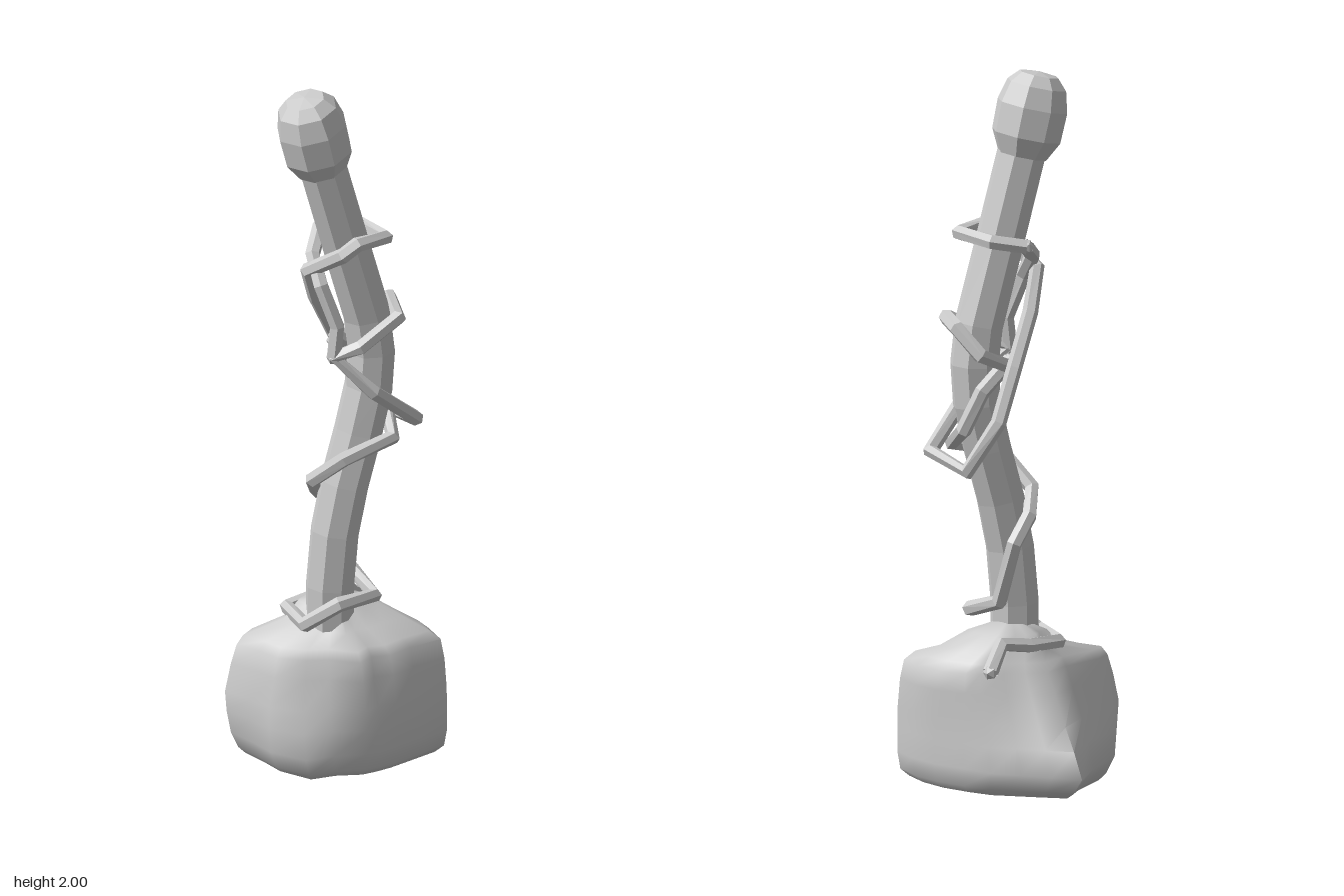
import * as THREE from 'three';
import { toCreasedNormals } from 'three/addons/utils/BufferGeometryUtils.js';

const flat = new THREE.MeshStandardMaterial({ color: 0xcccccc, flatShading: true, side: THREE.DoubleSide });
const smooth = new THREE.MeshStandardMaterial({ color: 0xcccccc });

function addMesh(parent, name, geometry, material = flat) {
  const mesh = new THREE.Mesh(geometry, material);
  mesh.name = name;
  parent.add(mesh);
  return mesh;
}

// Faceted tube with one ring per path point, so the bends stay angular
function facetedTube(points, radius, sides) {
  const curve = new THREE.CatmullRomCurve3(points.map(p => new THREE.Vector3(...p)));
  curve.getPointAt = (u, target) => curve.getPoint(u, target);
  curve.getTangentAt = (u, target) => curve.getTangent(u, target);
  return new THREE.TubeGeometry(curve, points.length - 1, radius, sides);
}

// Rock: one irregular outline, scaled differently on each side per level
function rockGeometry() {
  // x, z, how far this point draws inwards towards the top
  const outline = [
    [0, -0.297, 0], [0.06, -0.235, 0], [0.12, -0.17, 0.04], [0.18, -0.105, 0], [0.22, -0.02, 0.05],
    [0.26, 0.07, 0.02], [0.278, 0.16, 0], [0.274, 0.25, 0], [0.18, 0.272, 0.04], [0.1, 0.29, 0.02],
    [0.05, 0.295, 0.09], [0, 0.295, 0], [-0.09, 0.265, 0.14], [-0.18, 0.255, 0.21], [-0.245, 0.16, 0.12],
    [-0.26, 0.08, 0.08], [-0.283, -0.01, 0], [-0.23, -0.105, 0], [-0.1, -0.2, 0.07],
  ];
  // y, scale towards left (+x), right (-x), front, back
  const levels = [
    [0, 0.9, 0.78, 0.92, 0.72], [0.02, 0.98, 0.85, 0.97, 0.84], [0.07, 1, 0.93, 1, 1],
    [0.14, 1, 0.98, 1, 0.85], [0.2, 1, 1, 0.99, 0.69], [0.28, 1, 0.94, 0.94, 0.5],
    [0.335, 0.98, 0.88, 0.89, 0.36], [0.36, 0.88, 0.81, 0.83, 0.3],
    [0.385, 0.72, 0.36, 0.58, 0.23], [0.43, 0.48, 0.2, 0.42, 0.14],
  ];
  const n = outline.length, pos = [], idx = [];
  levels.forEach(([y, left, right, front, back], j) => {
    outline.forEach(([x, z, depth], i) => {
      const fold = 1 - depth * THREE.MathUtils.clamp((y - 0.06) / 0.2, 0, 1);
      pos.push(x * (x > 0 ? left : right) * fold, y, z * (z > 0 ? front : back) * fold);
      const k = (i + 1) % n, a = j * n + i, b = j * n + k;
      if (j < levels.length - 1) idx.push(a, a + n, b, b, a + n, b + n);
    });
  });
  const top = pos.length / 3, last = (levels.length - 1) * n;
  pos.push(0.02, 0.465, 0.06, 0, 0, 0);
  for (let i = 0; i < n; i++) {
    const k = (i + 1) % n;
    idx.push(last + i, top, last + k, i, k, top + 1);
  }
  const g = new THREE.BufferGeometry();
  g.setAttribute('position', new THREE.Float32BufferAttribute(pos, 3));
  g.setIndex(idx);
  return toCreasedNormals(g, 1.2);
}

export function createModel() {
  const model = new THREE.Group();
  model.name = 'vineWrappedStaff';

  addMesh(model, 'rock', rockGeometry(), smooth);

  // Bent staff
  const z = 0.077;
  addMesh(model, 'staff', facetedTube([
    [0, 0.3, z], [0, 0.5, z], [0.015, 0.66, z], [0.045, 0.8, z], [0.088, 0.95, z],
    [0.12, 1.08, z], [0.128, 1.19, z], [0.114, 1.3, z], [0.05, 1.52, z], [-0.027, 1.79, z],
  ], 0.069, 8));

  // Rounded knob in line with the top of the staff
  const profile = [[0, 0], [0.07, 0], [0.099, 0.055], [0.101, 0.14], [0.085, 0.2], [0.056, 0.23], [0, 0.238]];
  const knob = addMesh(model, 'knob',
    new THREE.LatheGeometry(profile.map(p => new THREE.Vector2(...p)), 8));
  knob.position.set(-0.022, 1.765, 0.074);
  knob.rotation.z = 0.24;

  // Vines winding round the staff
  const vines = {
    rootVine: [
      [0.175, 0.355, -0.095], [0.12, 0.42, -0.06], [0.03, 0.405, -0.055], [-0.075, 0.4, -0.035],
      [-0.09, 0.405, 0.1], [-0.02, 0.48, 0.17], [0.1, 0.475, 0.15], [0.085, 0.52, 0.015],
      [0.06, 0.69, -0.025], [0.0, 0.76, -0.005], [-0.045, 0.82, 0.06], [0.0, 0.915, 0.163],
      [0.15, 0.95, 0.163], [0.195, 1.02, 0.02], [0.15, 1.13, -0.005], [0.06, 1.21, -0.005],
    ],
    loopVine: [
      [0.06, 1.19, -0.015], [0.17, 1.24, -0.03], [0.21, 1.31, 0.03], [0.17, 1.31, 0.16],
      [0.05, 1.245, 0.165], [-0.01, 1.21, 0.12], [0.09, 1.1, 0.165], [0.26, 0.955, 0.09],
      [0.245, 0.93, -0.085], [0.15, 1.06, -0.095], [0.08, 1.2, -0.06], [0.0, 1.34, -0.01],
      [-0.05, 1.45, 0.04], [0.0, 1.53, 0.155], [0.04, 1.56, 0.165], [0.14, 1.55, 0.14],
      [0.115, 1.55, 0.0], [0.03, 1.535, -0.04],
    ],
    innerVine: [
      [0.03, 1.535, -0.04], [-0.03, 1.49, 0.03], [-0.035, 1.42, 0.09], [0.0, 1.3, 0.12], [-0.01, 1.21, 0.12],
    ],
  };
  for (const [name, path] of Object.entries(vines)) {
    const vine = new THREE.Group();
    vine.name = name;
    addMesh(vine, name + 'Stem', facetedTube(path, 0.022, 6));
    for (const end of [path[0], path[path.length - 1]]) {
      addMesh(vine, name + 'Tip', new THREE.IcosahedronGeometry(0.022, 0)).position.set(...end);
    }
    model.add(vine);
  }
  return model;
}
